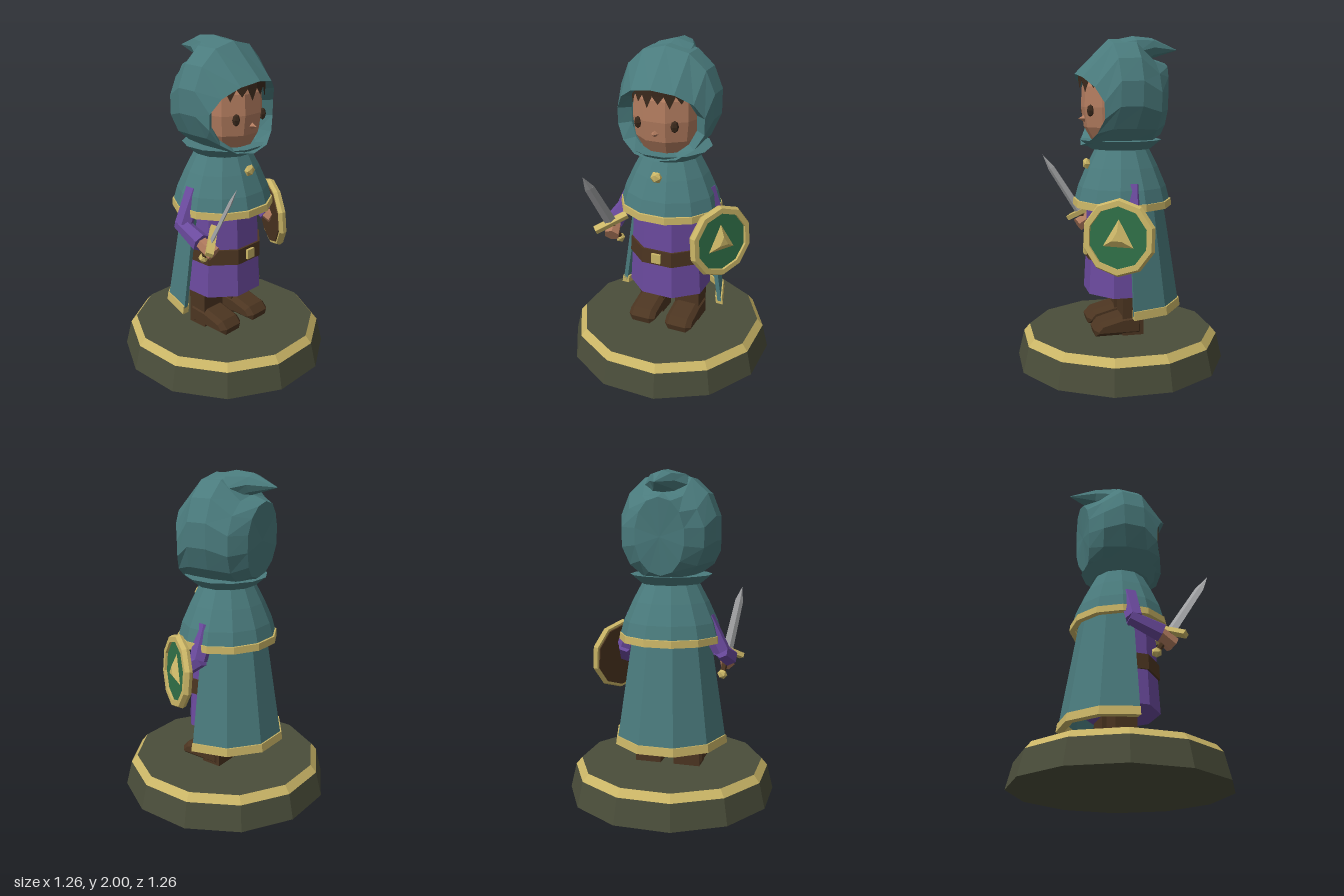
import * as THREE from 'three';

const mat = (name, color, side = THREE.FrontSide) =>
  Object.assign(new THREE.MeshStandardMaterial({ color, side }), { name });
const V = (x, y, z) => new THREE.Vector3(x, y, z);

// Faceted copy of a geometry
function flat(g) {
  const f = g.index ? g.toNonIndexed() : g;
  f.computeVertexNormals();
  return f;
}

// Skin over closed rings of points, optionally capped at either end
function loft(rings, capStart = true, capEnd = true) {
  const p = [];
  const tri = (...v) => v.forEach((q) => p.push(q.x, q.y, q.z));
  const n = rings[0].length;
  const mid = (r) => r.reduce((s, q) => s.add(q), V(0, 0, 0)).divideScalar(n);
  const last = rings[rings.length - 1];
  for (let j = 0; j < n; j++) {
    const k = (j + 1) % n;
    for (let i = 0; i < rings.length - 1; i++) {
      const [a, b, c, d] = [rings[i][j], rings[i][k], rings[i + 1][k], rings[i + 1][j]];
      tri(a, b, d);
      tri(b, c, d);
    }
    if (capStart) tri(mid(rings[0]), rings[0][k], rings[0][j]);
    if (capEnd) tri(mid(last), last[j], last[k]);
  }
  return new THREE.BufferGeometry().setAttribute('position', new THREE.Float32BufferAttribute(p, 3));
}

const lathe = (pts, sides, start = 0) =>
  new THREE.LatheGeometry(pts.map((p) => new THREE.Vector2(...p)), sides, start);

// Profile swept round the back half of the body
function backBand(profile, n = 5) {
  const rings = [];
  for (let i = 0; i <= n; i++) {
    const a = Math.PI / 2 + (Math.PI * i) / n;
    rings.push(profile.map(([r, y]) => V(0.97 * r * Math.sin(a), y, r * Math.cos(a) - 0.01)));
  }
  return loft(rings);
}

export function createModel() {
  const teal = mat('teal cloth', 0x4a7b7d, THREE.DoubleSide);
  const purple = mat('purple cloth', 0x6b4a9e);
  const gold = mat('gold', 0xcab566, THREE.DoubleSide);
  const olive = mat('dark olive stone', 0x4a4d3a);
  const leather = mat('brown leather', 0x4c3521);
  const hair = mat('dark brown hair', 0x3a291c, THREE.DoubleSide);
  const skin = mat('skin', 0xb27c5f);
  const steel = mat('steel', 0xa3a4a6);
  const green = mat('green enamel', 0x2f6e46);

  const model = new THREE.Group();
  function add(name, geo, material, parent = model, pos = [0, 0, 0]) {
    const m = new THREE.Mesh(flat(geo), material);
    m.name = name;
    m.position.set(...pos);
    parent.add(m);
    return m;
  }
  function limb(name, a, b, ra, rb, material, sides = 6) {
    const d = b.clone().sub(a);
    const m = add(name, new THREE.CylinderGeometry(rb, ra, d.length(), sides), material);
    m.position.copy(a).add(b).multiplyScalar(0.5);
    m.quaternion.setFromUnitVectors(V(0, 1, 0), d.normalize());
  }

  // Twelve-sided plinth with a gold bevel
  const t = Math.PI / 12;
  add('plinth', lathe([[0, 0], [0.65, 0], [0.613, 0.155]], 12, t), olive);
  add('plinthTrim', lathe([[0.613, 0.155], [0.575, 0.2]], 12, t), gold);
  add('plinthTop', lathe([[0.575, 0.2], [0, 0.2]], 12, t), olive);

  // Boots
  const shoe = new THREE.Shape([[-0.1, 0.2], [0.19, 0.2], [0.2, 0.24], [0.16, 0.285], [0.03, 0.32], [-0.1, 0.33]]
    .map((p) => new THREE.Vector2(...p)));
  for (const s of [-1, 1]) {
    add('bootShaft', new THREE.BoxGeometry(0.165, 0.28, 0.13), leather, model, [s * 0.125, 0.34, -0.04]);
    const g = new THREE.ExtrudeGeometry(shoe, {
      depth: 0.12, bevelThickness: 0.03, bevelSize: 0.025, bevelOffset: -0.025, bevelSegments: 1,
    });
    g.rotateY(-Math.PI / 2).translate(s * 0.127 + 0.06, 0, 0);
    add('bootFoot', g, leather);
  }

  // Tunic, belt and buckle
  const e = Math.PI / 8;
  const tunic = lathe([[0, 0.445], [0.262, 0.445], [0.245, 0.7], [0.235, 1.05], [0, 1.1]], 8, e);
  add('tunic', tunic.scale(1, 1, 0.87), purple);
  add('belt', lathe([[0.23, 0.66], [0.258, 0.66], [0.254, 0.755], [0.23, 0.755]], 8, e).scale(1, 1, 0.89), leather);
  add('buckle', new THREE.BoxGeometry(0.06, 0.06, 0.03), gold, model, [0, 0.707, 0.212]);

  // Cape with gold hem
  add('cape', backBand([[0.362, 0.36], [0.335, 0.36], [0.22, 1.06], [0.25, 1.06]]), teal);
  add('capeHem', backBand([[0.373, 0.34], [0.325, 0.34], [0.318, 0.39], [0.366, 0.39]]), gold);

  // Shoulder mantle, its trim and clasp
  const mantle = lathe([[0.285, 1.0], [0.318, 1.0], [0.29, 1.1], [0.235, 1.22], [0.17, 1.34]], 12, t);
  add('mantle', mantle.scale(1, 1, 0.93), teal, model, [0, 0, -0.015]);
  const trim = lathe([[0.29, 0.978], [0.328, 0.978], [0.324, 1.02], [0.29, 1.025], [0.29, 0.978]], 12, t);
  add('mantleTrim', trim.scale(0.98, 1, 0.93), gold, model, [0, 0, -0.015]);
  add('clasp', new THREE.IcosahedronGeometry(0.038, 0).scale(1, 1, 0.7), gold, model, [0, 1.238, 0.205]);

  // Head, eyes and nose
  const head = lathe([[0, 1.35], [0.15, 1.37], [0.2, 1.46], [0.217, 1.58], [0.21, 1.7], [0.17, 1.79], [0, 1.8]], 10, Math.PI / 10);
  add('head', head.scale(1, 1, 1.05), skin, model, [0, 0, 0.01]);
  for (const s of [-1, 1]) {
    const eye = add('eye', new THREE.SphereGeometry(1, 6, 4), hair, model, [s * 0.115, 1.56, 0.2]);
    eye.scale.set(0.024, 0.036, 0.02);
    eye.rotation.y = s * 0.5;
  }
  const nose = add('nose', new THREE.ConeGeometry(0.022, 0.04, 4), skin, model, [0, 1.51, 0.235]);
  nose.rotation.x = Math.PI / 2;

  // Jagged fringe wrapped round the brow
  const fringe = [];
  const brow = (a, y) => [0.222 * Math.sin(a), y, 0.242 * Math.cos(a) + 0.01];
  for (let i = -4; i < 4; i++) {
    const [a, b] = [i * 0.3, (i + 1) * 0.3];
    const tip = i % 2 ? 1.665 : 1.69;
    fringe.push(...brow(a, 1.78), ...brow(a, 1.735), ...brow(b, 1.735));
    fringe.push(...brow(a, 1.78), ...brow(b, 1.735), ...brow(b, 1.78));
    fringe.push(...brow(a, 1.735), ...brow((a + b) / 2, tip), ...brow(b, 1.735));
  }
  add('fringe', new THREE.BufferGeometry().setAttribute('position',
    new THREE.Float32BufferAttribute(fringe, 3)), hair);

  // Hood: rings from the lining, over the rim, to the back
  // [side z, top z, bottom z, half width, top y, bottom y]
  const hoodRings = [
    [0.09, 0.2, 0.17, 0.212, 1.765, 1.365],
    [0.14, 0.275, 0.24, 0.28, 1.775, 1.35],
    [0.05, 0.07, 0.15, 0.302, 1.98, 1.335],
    [-0.08, -0.07, 0, 0.3, 1.985, 1.335],
    [-0.2, -0.19, -0.16, 0.255, 1.87, 1.35],
    [-0.265, -0.285, -0.235, 0.15, 1.84, 1.39],
  ].map(([zs, zt, zb, w, top, bot]) => {
    const ring = [];
    for (let j = 0; j < 14; j++) {
      const a = (j / 14) * Math.PI * 2;
      const c = Math.cos(a);
      const z = zs + ((c > 0 ? zt : zb) - zs) * c * c;
      const x = w * Math.sign(Math.sin(a)) * Math.abs(Math.sin(a)) ** 0.9;
      ring.push(V(x, (top + bot) / 2 + ((top - bot) / 2) * c, z));
    }
    return ring;
  });
  add('hood', loft(hoodRings, false, true), teal);
  // Swept-back peak of the hood: [z, y, half width, half height]
  const peak = [[0.06, 1.87, 0.19, 0.1], [-0.08, 1.9, 0.155, 0.1], [-0.2, 1.93, 0.075, 0.06], [-0.355, 1.92, 0.003, 0.003]]
    .map(([z, y, w, h]) => Array.from({ length: 8 }, (_, j) => {
      const a = (j / 8) * Math.PI * 2;
      return V(w * Math.sin(a), y + h * Math.cos(a), z);
    }));
  add('hoodPeak', loft(peak), teal);
  add('hoodCollar', new THREE.CylinderGeometry(0.252, 0.185, 0.055, 12).rotateY(t), teal, model, [0, 1.355, -0.005]);

  // Arms and hands
  limb('rightUpperSleeve', V(-0.22, 1.12, -0.03), V(-0.325, 0.92, -0.03), 0.06, 0.055, purple);
  limb('rightForeSleeve', V(-0.325, 0.93, -0.06), V(-0.335, 0.855, 0.13), 0.045, 0.06, purple);
  limb('rightHand', V(-0.33, 0.86, 0.11), V(-0.31, 0.8, 0.21), 0.04, 0.05, skin);
  limb('leftUpperSleeve', V(0.22, 1.12, -0.03), V(0.295, 0.92, -0.02), 0.06, 0.055, purple);
  limb('leftForeSleeve', V(0.29, 0.93, -0.04), V(0.315, 0.85, 0.08), 0.05, 0.06, purple);
  limb('leftHand', V(0.31, 0.86, 0.06), V(0.325, 0.83, 0.12), 0.04, 0.045, skin);

  // Sword
  const sword = new THREE.Group();
  sword.name = 'sword';
  const up = V(-0.045, 0.39, 0.24).normalize();
  const out = V(0, 0, 0).crossVectors(V(0.18, 0.1, -0.13), up).normalize();
  sword.quaternion.setFromRotationMatrix(new THREE.Matrix4().makeBasis(V(0, 0, 0).crossVectors(up, out), up, out));
  sword.position.set(-0.315, 0.87, 0.19);
  model.add(sword);
  add('blade', new THREE.CylinderGeometry(0.03, 0.036, 0.35, 4).scale(1, 1, 0.35), steel, sword, [0, 0.185, 0]);
  add('bladeTip', new THREE.ConeGeometry(0.03, 0.105, 4).scale(1, 1, 0.35), steel, sword, [0, 0.412, 0]);
  add('guard', new THREE.BoxGeometry(0.22, 0.03, 0.045), gold, sword, [0, 0.015, 0]);
  add('grip', new THREE.CylinderGeometry(0.018, 0.018, 0.14, 6), leather, sword, [0, -0.07, 0]);
  add('pommel', new THREE.IcosahedronGeometry(0.032, 0), gold, sword, [0, -0.15, 0]);

  // Ten-sided shield with rim, backing and triangle boss
  const shield = new THREE.Group();
  shield.name = 'shield';
  shield.position.set(0.365, 0.845, 0.085);
  shield.rotation.set(-0.08, 1.013, 0, 'YXZ');
  model.add(shield);
  const disc = (r1, r2, h, n) => new THREE.CylinderGeometry(r1, r2, h, n).rotateX(Math.PI / 2);
  const rim = lathe([[0.18, -0.022], [0.218, -0.022], [0.228, 0], [0.215, 0.025], [0.182, 0.025], [0.18, -0.022]], 10);
  add('shieldRim', rim.rotateX(Math.PI / 2), gold, shield);
  add('shieldFace', disc(0.182, 0.182, 0.02, 10), green, shield);
  add('shieldBack', disc(0.21, 0.2, 0.015, 10), leather, shield, [0, 0, -0.02]);
  add('shieldBoss', disc(0.035, 0.11, 0.03, 3).rotateZ(Math.PI), gold, shield, [0, 0, 0.024]);

  return model;
}
